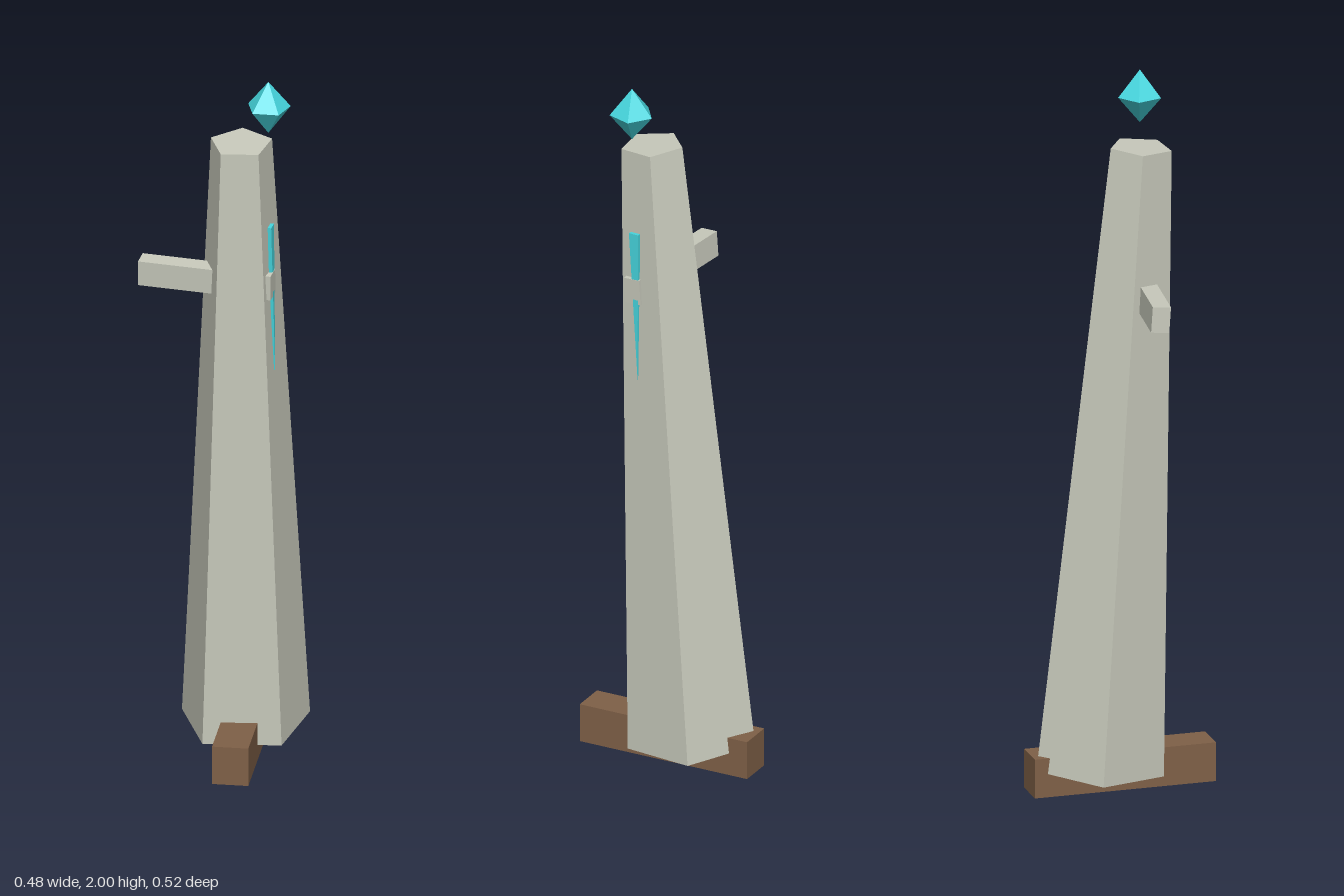
import * as THREE from 'three';

const UP = new THREE.Vector3(0, 1, 0);

export function createModel() {
  const model = new THREE.Group();
  model.name = 'stonePillar';

  const material = (name, color) => {
    const m = new THREE.MeshStandardMaterial({ color, flatShading: true });
    m.name = name;
    return m;
  };
  const stone = material('paleStone', 0xc8cabc);
  const wood = material('brownWood', 0x7f6047);
  const crystal = material('cyanCrystal', 0x46d6de);

  // Adds a part turned about its own upright axis, then leaned so that axis follows `axis`
  const add = (name, geometry, mat, position, turn = 0, axis = UP) => {
    const mesh = new THREE.Mesh(geometry, mat);
    mesh.name = name;
    mesh.position.set(...position);
    mesh.quaternion.setFromUnitVectors(UP, axis.clone().normalize())
      .multiply(new THREE.Quaternion().setFromAxisAngle(UP, turn));
    model.add(mesh);
    return mesh;
  };

  // Leaning five-sided shaft
  const foot = new THREE.Vector3(0.056, 0.055, -0.061);
  const head = new THREE.Vector3(0.027, 1.807, 0.056);
  const lean = head.clone().sub(foot);
  const middle = foot.clone().add(head).multiplyScalar(0.5);
  add('shaft', new THREE.CylinderGeometry(0.087, 0.182, lean.length(), 5, 1, false, 0.42),
    stone, middle.toArray(), 0, lean);

  // Beam lying under the shaft
  add('baseBeam', new THREE.BoxGeometry(0.099, 0.11, 0.511), wood, [0.043, 0.055, 0], -0.298);

  // Arm passing through the shaft and just showing on the far side
  add('arm', new THREE.BoxGeometry(0.37, 0.072, 0.05), stone, [-0.0615, 1.403, 0.0225], -0.414, lean);

  // Tapered crystal sliver set into the side face
  const sliver = new THREE.Shape([
    new THREE.Vector2(-0.015, 0.215),
    new THREE.Vector2(0, -0.215),
    new THREE.Vector2(0.015, 0.215),
  ]);
  const sliverGeometry = new THREE.ExtrudeGeometry(sliver, { depth: 0.01, bevelEnabled: false });
  sliverGeometry.translate(0, 0, -0.005);
  add('crystalSliver', sliverGeometry, crystal, [0.1075, 1.357, 0.085], 1.157,
    new THREE.Vector3(-0.009, 0.43, 0.013));

  // Floating five-sided double pyramid
  add('floatingCrystal', new THREE.SphereGeometry(1, 5, 2), crystal, [0.095, 1.925, 0.1], Math.PI)
    .scale.set(0.061, 0.075, 0.061);

  return model;
}
